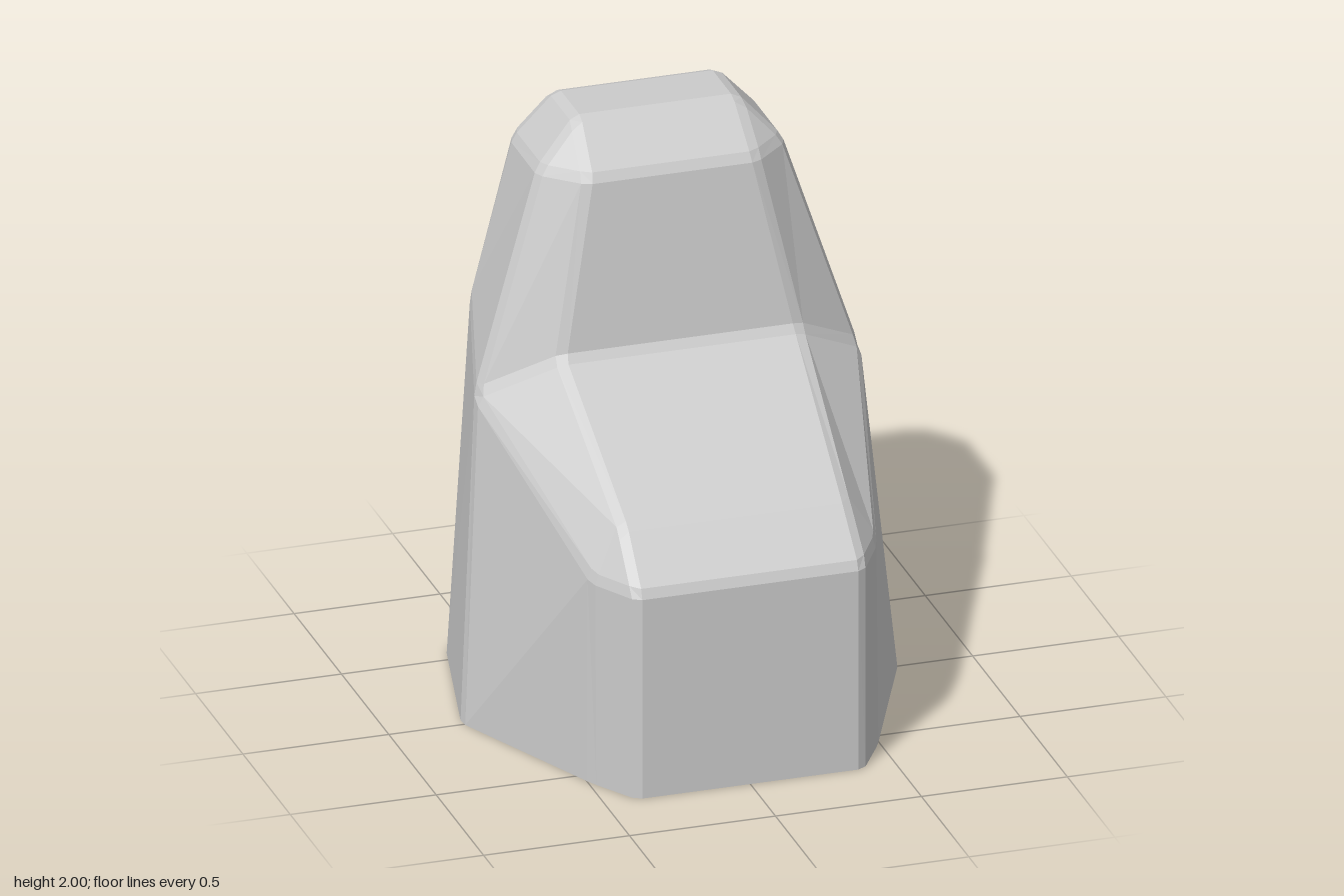
import * as THREE from 'three';

// Corners of the +x half of the stepped block: [x, y, z]
const CORNERS = {
  // base outline, front to back
  A0: [0.39, 0, 0.735], B0: [0.49, 0, 0.57], C0: [0.75, 0, -0.01], D0: [0.62, 0, -0.57], E0: [0.48, 0, -0.735],
  // shoulder outline
  A: [0.39, 0.73, 0.735], B: [0.49, 0.73, 0.56], C: [0.66, 1.11, -0.14], D: [0.54, 1.28, -0.56], E: [0.41, 1.26, -0.735],
  // sloping step
  S: [0.385, 0.9, 0.565], P: [0.41, 1.255, -0.002],
  // upper block and its cap
  F: [0.29, 1.85, -0.09], G: [0.42, 1.85, -0.21], H: [0.42, 1.85, -0.5], I: [0.29, 1.85, -0.66],
  T1: [0.28, 2, -0.25], T2: [0.28, 2, -0.485],
};
// Faces of the +x side, counter-clockwise from outside
const SIDE = ['A0 B0 B A', 'B0 C0 C B', 'C0 D0 D C', 'D0 E0 E D', 'A B S', 'B C P S',
  'P C G F', 'C D H G', 'D E I H', 'F G T1', 'G H T2 T1', 'H I T2'];
// Middle profile: each step makes a face that spans both halves
const PROFILE = ['A0', 'A', 'S', 'P', 'F', 'T1', 'T2', 'I', 'E', 'E0'];
const BEVEL = 0.02;

function cage() {
  const points = {}, faces = [];
  const mirror = (name) => name + 'm';
  for (const [name, [x, y, z]] of Object.entries(CORNERS)) {
    points[name] = new THREE.Vector3(x, y, z);
    points[mirror(name)] = new THREE.Vector3(-x, y, z);
  }
  for (const text of SIDE) {
    const face = text.split(' ');
    faces.push(face, face.map(mirror).reverse());
  }
  for (let i = 0; i + 1 < PROFILE.length; i++) {
    const [lo, up] = [PROFILE[i], PROFILE[i + 1]];
    faces.push([lo, up, mirror(up), mirror(lo)]);
  }
  return { points, faces };
}

// Shrink every face, then fill the gaps along edges and at corners
function bevelled({ points, faces }) {
  const polygons = [], corners = {}, edges = new Map(), base = [];
  for (const face of faces) {
    const inset = {};
    face.forEach((v, i) => {
      const n = face[(i + 1) % face.length], p = face[(i + face.length - 1) % face.length];
      const a = points[p].clone().sub(points[v]).normalize();
      const b = points[n].clone().sub(points[v]).normalize();
      const sine = a.clone().cross(b).length();
      const q = a.add(b).multiplyScalar(BEVEL / sine).add(points[v]);
      if (points[v].y === 0) {
        q.y = 0;
        base.push(q);
      }
      inset[v] = q;
      (corners[v] ??= {})[p] = { next: n, q };
      edges.set(v + '>' + n, { v, n, inset });
    });
    polygons.push(face.map((v) => inset[v]));
  }
  // edge strips
  for (const { v, n, inset } of edges.values()) {
    const other = edges.get(n + '>' + v);
    if (other && v < n) polygons.push([other.inset[v], other.inset[n], inset[n], inset[v]]);
  }
  // corner patches
  for (const [v, ring] of Object.entries(corners)) {
    if (points[v].y === 0) continue;
    const start = Object.keys(ring)[0], patch = [];
    let key = start;
    do {
      patch.push(ring[key].q);
      key = ring[key].next;
    } while (key !== start);
    polygons.push(patch.reverse());
  }
  // flat underside
  polygons.push(base.sort((a, b) => Math.atan2(a.z, a.x) - Math.atan2(b.z, b.x)));
  return polygons;
}

function toGeometry(polygons) {
  const triangles = [];
  for (const poly of polygons) {
    for (let i = 1; i + 1 < poly.length; i++) triangles.push(poly[0], poly[i], poly[i + 1]);
  }
  const geometry = new THREE.BufferGeometry().setFromPoints(triangles);
  geometry.computeVertexNormals();
  return geometry;
}

export function createModel() {
  const group = new THREE.Group();
  group.name = 'steppedRock';
  const material = new THREE.MeshStandardMaterial({ color: 0xcccccc, flatShading: true });
  const rock = new THREE.Mesh(toGeometry(bevelled(cage())), material);
  rock.name = 'rockBody';
  group.add(rock);
  return group;
}
